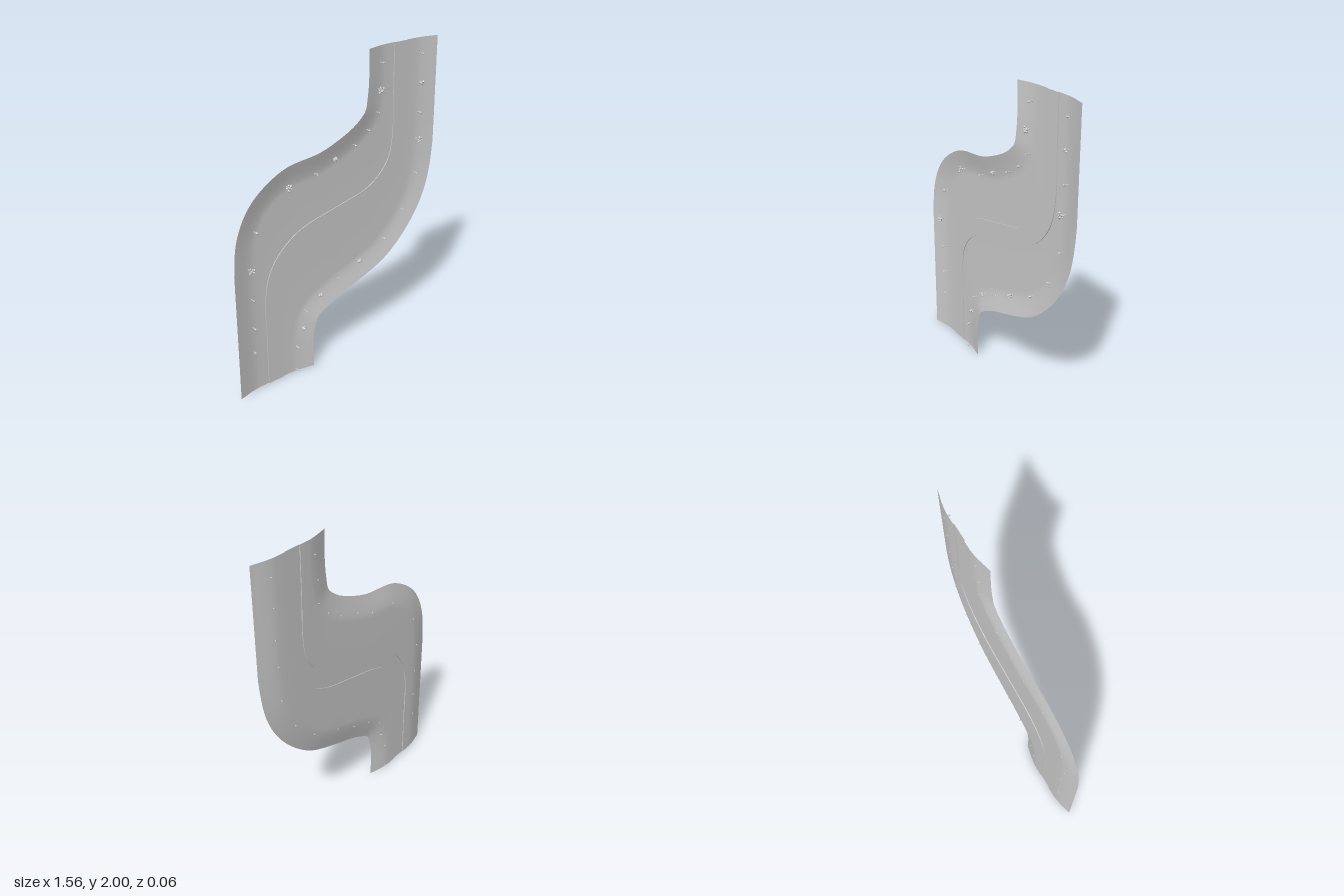
import * as THREE from 'three';
import { toCreasedNormals } from 'three/addons/utils/BufferGeometryUtils.js';

const STEPS = 72, FLOOR = -0.03, ROAD_TOP = -0.025, HALF_ROAD = 0.055;

const spline = (pts) => new THREE.CatmullRomCurve3(pts.map(([x, y]) => new THREE.Vector3(x, y, 0)));

// Matching stations along the road centre and both outer edges
const centre = spline([[-.5, 0], [-.5, .3], [-.5, .6], [-.465, .75], [-.38, .86], [-.25, .94], [0, 1],
  [.25, 1.06], [.38, 1.14], [.465, 1.25], [.5, 1.4], [.5, 1.7], [.5, 2]]);
const leftEdge = spline([[-.78, 0], [-.78, .35], [-.78, .85], [-.745, 1.09], [-.64, 1.27], [-.42, 1.41], [-.15, 1.45],
  [0, 1.5], [.12, 1.56], [.195, 1.63], [.21, 1.7], [.22, 1.8], [.22, 2]]);
const rightEdge = spline([[-.22, 0], [-.22, .2], [-.205, .29], [-.18, .35], [-.1, .4], [0, .445], [.14, .49],
  [.4, .6], [.62, .81], [.735, 1.03], [.78, 1.32], [.78, 1.65], [.78, 2]]);

// Point moved sideways from a curve; positive offsets go to the right of travel
function offsetPoint(curve, t, offset, z) {
  const p = curve.getPoint(t), d = curve.getTangent(t);
  const x = THREE.MathUtils.clamp(p.x + d.y * offset, -0.78, 0.78);
  const y = t === 0 ? 0 : t === 1 ? 2 : THREE.MathUtils.clamp(p.y - d.x * offset, 0, 2);
  return [x, y, z];
}

// Surface through a row of points for each step along the strip
function loft(section) {
  const pos = [], index = [];
  let cols = 0;
  for (let i = 0; i <= STEPS; i++) {
    const row = section(i / STEPS);
    cols = row.length;
    row.forEach((p) => pos.push(...p));
  }
  for (let i = 0; i < STEPS; i++) {
    for (let j = 0; j < cols - 1; j++) {
      const a = i * cols + j, b = a + cols;
      index.push(a, a + 1, b + 1, a, b + 1, b);
    }
  }
  const g = new THREE.BufferGeometry();
  g.setAttribute('position', new THREE.Float32BufferAttribute(pos, 3));
  g.setIndex(index);
  g.computeVertexNormals();
  return g;
}

// Bank profile: distance in from the edge, height
const bank = [[0, 0], [.04, -.009], [.08, -.019], [.12, -.026], [.155, FLOOR]];

function scatterRandom(seed) {
  return () => (seed = (seed * 16807) % 2147483647) / 2147483647;
}

export function createModel() {
  const group = new THREE.Group();
  const surface = new THREE.MeshStandardMaterial({ color: 0xcccccc, side: THREE.DoubleSide });
  const faceted = new THREE.MeshStandardMaterial({ color: 0xcccccc, flatShading: true });
  const add = (parent, name, geometry, material) => {
    const mesh = new THREE.Mesh(geometry, material);
    mesh.name = name;
    parent.add(mesh);
    return mesh;
  };

  // Valley ground on both sides of the road
  add(group, 'leftGround', loft((t) => [
    ...bank.map(([d, z]) => offsetPoint(leftEdge, t, d, z)),
    offsetPoint(centre, t, -HALF_ROAD, FLOOR),
  ]), surface);
  add(group, 'rightGround', loft((t) => [
    offsetPoint(centre, t, HALF_ROAD, FLOOR),
    ...bank.map(([d, z]) => offsetPoint(rightEdge, t, -d, z)).reverse(),
  ]), surface);

  // Slightly raised road with upright sides
  add(group, 'road', toCreasedNormals(loft((t) => [
    offsetPoint(centre, t, -HALF_ROAD, FLOOR),
    offsetPoint(centre, t, -HALF_ROAD, ROAD_TOP),
    offsetPoint(centre, t, HALF_ROAD, ROAD_TOP),
    offsetPoint(centre, t, HALF_ROAD, FLOOR),
  ]), 0.6), surface);

  // Plants on the banks: x, y, size
  const plants = [
    [.31, 1.74, 3], [-.385, 1.295, 3], [-.67, .85, 3], [.65, 1.35, 3],
    [-.035, 1.38, 2], [.66, 1.72, 2], [.16, .635, 2], [-.155, .5, 2], [-.295, .31, 2],
    [.33, 1.9, 1], [.665, 1.9, 1], [.31, 1.595, .7], [.66, 1.525, 1], [.23, 1.5, 1], [.12, 1.43, 1],
    [-.175, 1.32, 1], [-.615, 1.075, 1.4], [.64, 1.12, 1], [.535, .885, 1.2], [.375, .725, 1.2],
    [0, .56, .8], [-.27, .425, .7], [-.34, .185, 1], [-.345, .014, 1],
    [-.655, .645, 1], [-.655, .45, 1], [-.66, .28, 1],
  ];
  const trunkGeometry = new THREE.CylinderGeometry(.0025, .0035, .024, 5).rotateX(Math.PI / 2);
  const leafGeometry = new THREE.IcosahedronGeometry(1, 0);
  const random = scatterRandom(17);
  for (const [x, y, size] of plants) {
    const plant = new THREE.Group();
    plant.name = size >= 2 ? 'tree' : 'bush';
    plant.position.set(x, y, -.022);
    add(plant, 'trunk', trunkGeometry, faceted);
    const tall = size >= 3 ? .034 : size >= 2 ? .024 : .021;
    const count = size >= 3 ? 9 : size >= 2 ? 6 : 2;
    const spread = size >= 3 ? .02 : size >= 2 ? .012 : .003 * size;
    for (let i = 0; i < count; i++) {
      const leaf = add(plant, 'foliage', leafGeometry, faceted);
      const a = i * 2.4, r = spread * Math.sqrt(i / count);
      leaf.position.set(Math.cos(a) * r, Math.sin(a) * r, tall + (random() - .5) * .012);
      leaf.rotation.set(random() * 3, random() * 3, 0);
      leaf.scale.setScalar(size >= 2 ? .006 + random() * .004 : .0065 * size);
    }
    group.add(plant);
  }
  return group;
}
